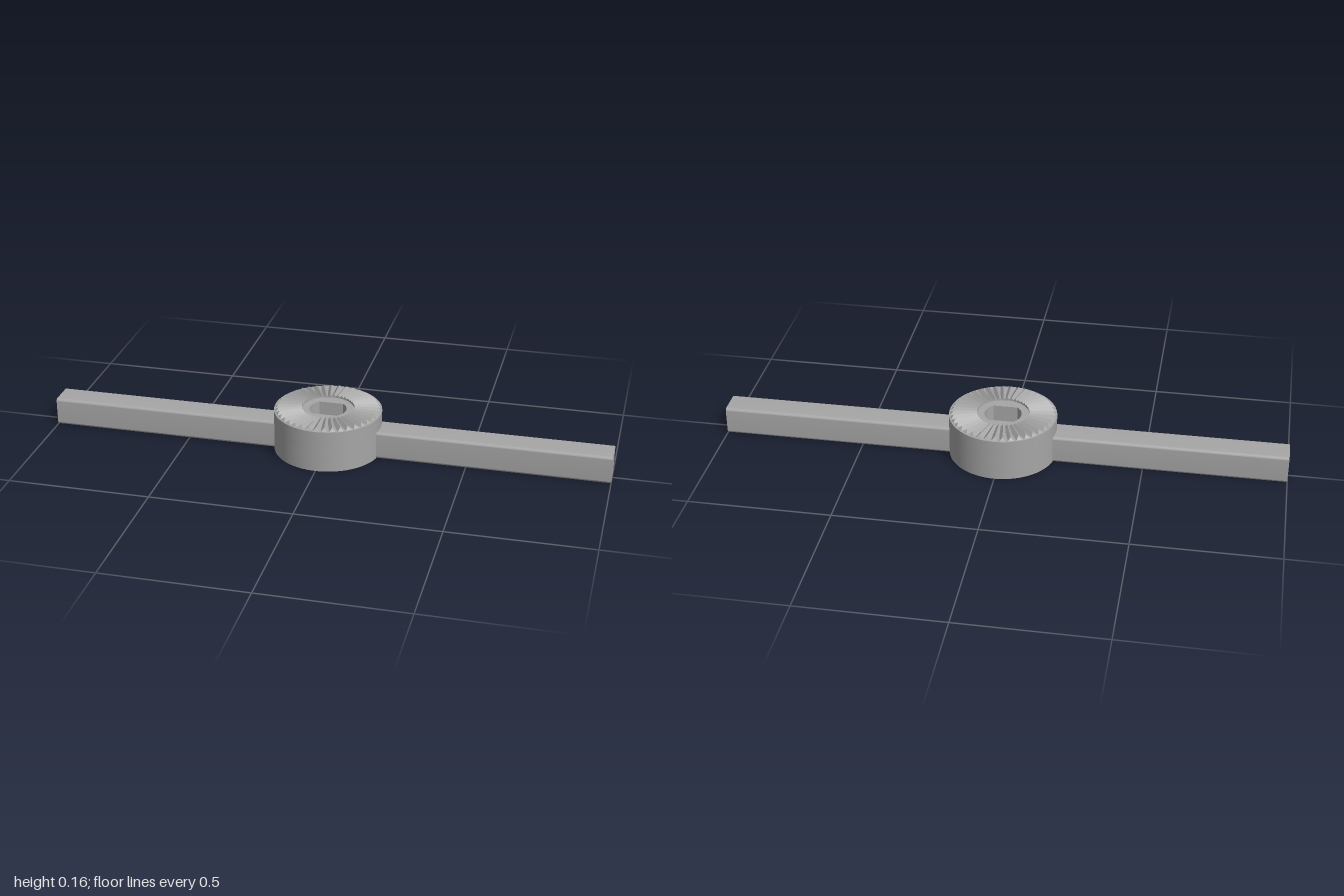
import * as THREE from 'three';
import { toCreasedNormals } from 'three/addons/utils/BufferGeometryUtils.js';

const HUB_R = 0.19, HUB_H = 0.15, SLOT_H = 0.08, TEETH = 40;

// Round slab standing on y = y0, pierced by one hole
function disc(hole, y0, y1, material, name) {
  const shape = new THREE.Shape().absarc(0, 0, HUB_R, 0, Math.PI * 2);
  shape.holes.push(hole);
  const geo = new THREE.ExtrudeGeometry(shape, { depth: y1 - y0, bevelEnabled: false, curveSegments: 48 });
  geo.rotateX(-Math.PI / 2).translate(0, y0, 0);
  const mesh = new THREE.Mesh(toCreasedNormals(geo, 0.5), material);
  mesh.name = name;
  return mesh;
}

// Wedge-shaped radial tooth along +x with a sloping outer end
function toothGeometry() {
  const w = 0.0108, h = 0.0115, r0 = 0.092, r1 = 0.185, ridgeEnd = 0.174;
  const geo = new THREE.BufferGeometry();
  geo.setAttribute('position', new THREE.Float32BufferAttribute([
    r0, 0, w, r1, 0, w, r1, 0, -w, r0, 0, -w, r0, h, 0, ridgeEnd, h, 0,
  ], 3));
  geo.setIndex([0, 1, 5, 0, 5, 4, 2, 3, 4, 2, 4, 5, 1, 2, 5, 3, 0, 4]);
  const flat = geo.toNonIndexed();
  flat.computeVertexNormals();
  return flat;
}

// Square bar with softly rounded long edges, running along +x
function armGeometry(x0, x1) {
  const a = 0.05, r = 0.009;
  const s = new THREE.Shape();
  s.absarc(a - r, 2 * a - r, r, 0, Math.PI / 2);
  s.absarc(-a + r, 2 * a - r, r, Math.PI / 2, Math.PI);
  s.absarc(-a + r, r, r, Math.PI, Math.PI * 1.5);
  s.absarc(a - r, r, r, Math.PI * 1.5, Math.PI * 2);
  const geo = new THREE.ExtrudeGeometry(s, { depth: x1 - x0, bevelEnabled: false, curveSegments: 5 });
  geo.rotateY(Math.PI / 2).translate(x0, 0, 0);
  return toCreasedNormals(geo, 0.5);
}

export function createModel() {
  const model = new THREE.Group();
  model.name = 'toothedHandle';
  const grey = new THREE.MeshStandardMaterial({ color: 0xa6a6a6 });
  grey.name = 'grey';

  // Hub: rectangular bolt recess below, flat-sided round hole above
  const slot = new THREE.Path();
  slot.moveTo(-0.1, -0.048).lineTo(-0.1, 0.048).lineTo(0.1, 0.048).lineTo(0.1, -0.048).closePath();
  const t = Math.asin(0.049 / 0.065);
  const bore = new THREE.Path();
  bore.absarc(0, 0, 0.065, -t, t);
  bore.absarc(0, 0, 0.065, Math.PI - t, Math.PI + t);
  bore.closePath();
  model.add(disc(slot, 0, SLOT_H, grey, 'hubBase'));
  model.add(disc(bore, SLOT_H, HUB_H, grey, 'hubTop'));

  // Ring of locking teeth
  const teeth = new THREE.Group();
  teeth.name = 'teeth';
  const toothGeo = toothGeometry();
  for (let i = 0; i < TEETH; i++) {
    const tooth = new THREE.Mesh(toothGeo, grey);
    tooth.name = 'tooth';
    tooth.position.y = HUB_H;
    tooth.rotation.y = (i / TEETH) * Math.PI * 2;
    teeth.add(tooth);
  }
  model.add(teeth);

  // Two opposite arms
  const armGeo = armGeometry(0.17, 1);
  for (const [name, turn] of [['leftArm', 0], ['rightArm', Math.PI]]) {
    const arm = new THREE.Mesh(armGeo, grey);
    arm.name = name;
    arm.rotation.y = turn;
    model.add(arm);
  }
  return model;
}
